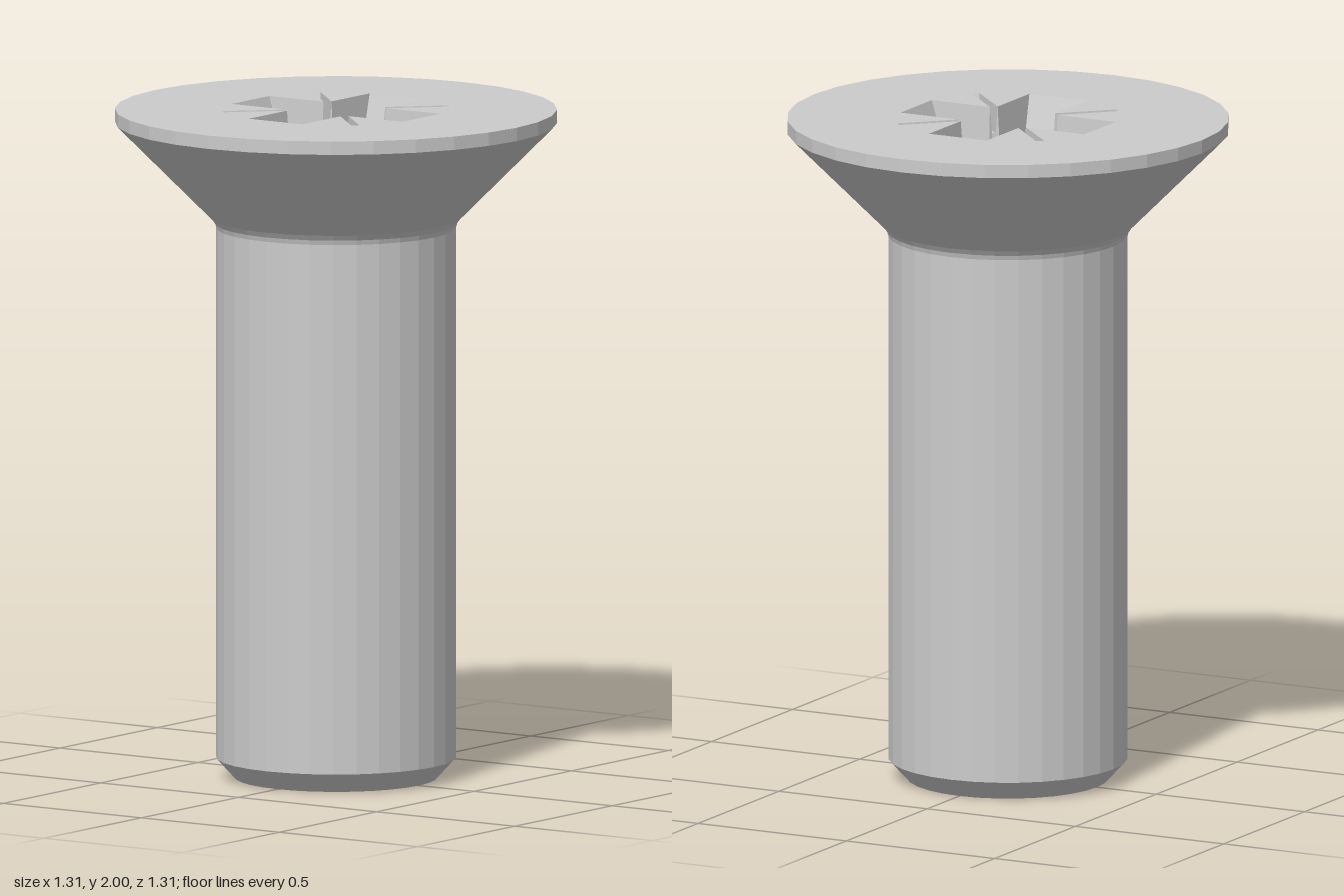
import * as THREE from 'three';

const TOP = 2, DEPTH = 0.36, SLIT = 0.08, SIDES = 32, CORE = 0.13;

// Flat faces, each a fan of corners listed anticlockwise from its front
function facesToGeometry(faces) {
  const pos = [];
  for (const f of faces)
    for (let i = 1; i < f.length - 1; i++)
      for (const p of [f[0], f[i], f[i + 1]]) pos.push(...p);
  const g = new THREE.BufferGeometry();
  g.setAttribute('position', new THREE.Float32BufferAttribute(pos, 3));
  g.computeVertexNormals();
  return g;
}

export function createModel() {
  const screw = new THREE.Group();
  screw.name = 'countersunkScrew';
  const mat = new THREE.MeshStandardMaterial({ color: 0xcccccc, flatShading: true });
  const add = (name, geo, parent = screw) => {
    const m = new THREE.Mesh(geo, mat);
    m.name = name;
    parent.add(m);
    return m;
  };
  const lathe = (pts) => new THREE.LatheGeometry(pts.map((p) => new THREE.Vector2(...p)), SIDES);

  // Shank with chamfered end, and conical head with a thin rim
  add('shank', lathe([[0, 0], [0.3, 0], [0.355, 0.06], [0.355, 1.645]]));
  add('head', lathe([[0.355, 1.645], [0.359, 1.659], [0.37, 1.675], [0.655, 1.96], [0.655, TOP]]));

  // One quarter of the recess mouth: arm end, then the diagonal slit
  const mouth = [[0.31, -0.097], [0.31, 0.097], [0.114, 0.097], [0.248, 0.231],
    [0.231, 0.248], [0.097, 0.114]];

  // Flat top of the head, pierced by the recess
  const disc = new THREE.Shape();
  for (let i = 0; i < SIDES; i++) {
    const a = (i / SIDES) * Math.PI * 2;
    disc[i ? 'lineTo' : 'moveTo'](0.655 * Math.cos(a), 0.655 * Math.sin(a));
  }
  const hole = [];
  for (let q = 0; q < 4; q++)
    for (const p of mouth)
      hole.push(new THREE.Vector2(...p).rotateAround(new THREE.Vector2(), q * Math.PI / 2));
  disc.holes.push(new THREE.Path(hole));
  add('headTop', new THREE.ShapeGeometry(disc).rotateX(-Math.PI / 2).translate(0, TOP, 0));

  // Quarter of the recess walls
  const at = (x, z, d) => [x, TOP - d, z];
  const [A, B, P1, P2, P3, P4] = mouth.map(([x, z]) => at(x, z, 0));
  const C = at(0.097, 0.31, 0);
  const a = at(0.185, -0.073, DEPTH), b = at(0.185, 0.073, DEPTH), c = at(0.073, 0.185, DEPTH);
  const b1 = at(0.108, 0.073, DEPTH), bm = at(0.092, 0.092, DEPTH), b4 = at(0.073, 0.108, DEPTH);
  const Q1 = at(0.109, 0.101, SLIT), Q2 = at(0.223, 0.215, SLIT);
  const Q3 = at(0.215, 0.223, SLIT), Q4 = at(0.101, 0.109, SLIT);
  const armWalls = [[a, b, B, A], [b, b1, P1, B], [b4, c, C, P4]];
  const cornerWalls = [[b1, Q1, P1], [b1, bm, Q1], [bm, Q4, Q1], [bm, b4, Q4], [b4, P4, Q4]];
  const slitWalls = [[Q1, Q2, P2, P1], [Q2, Q3, P3, P2], [Q3, Q4, P4, P3], [Q4, Q3, Q2, Q1]];

  // Arm floor around the core, and the quarter of the conical core floor
  const floor = [], half = Math.atan2(0.073, 0.108), n = 6;
  const arc = (t) => at(CORE * Math.cos(t), CORE * Math.sin(t), DEPTH);
  for (let i = 0; i < n; i++) {
    const k0 = (i / n) * 2 - 1, k1 = ((i + 1) / n) * 2 - 1;
    floor.push([arc(half * k0), arc(half * k1), at(0.185, 0.073 * k1, DEPTH), at(0.185, 0.073 * k0, DEPTH)]);
  }
  const cone = [], step = Math.PI / 16;
  for (let i = 0; i < 8; i++)
    cone.push([at(0, 0, DEPTH + 0.07), arc((i + 1) * step), arc(i * step)]);

  const parts = {
    recessArmWalls: armWalls, recessCornerWalls: cornerWalls, recessSlit: slitWalls,
    recessArmFloor: floor, recessCoreFloor: cone,
  };
  for (let q = 0; q < 4; q++) {
    const quarter = new THREE.Group();
    quarter.name = 'recessQuarter';
    quarter.rotation.y = q * Math.PI / 2;
    for (const [name, faces] of Object.entries(parts)) add(name, facesToGeometry(faces), quarter);
    screw.add(quarter);
  }
  return screw;
}
